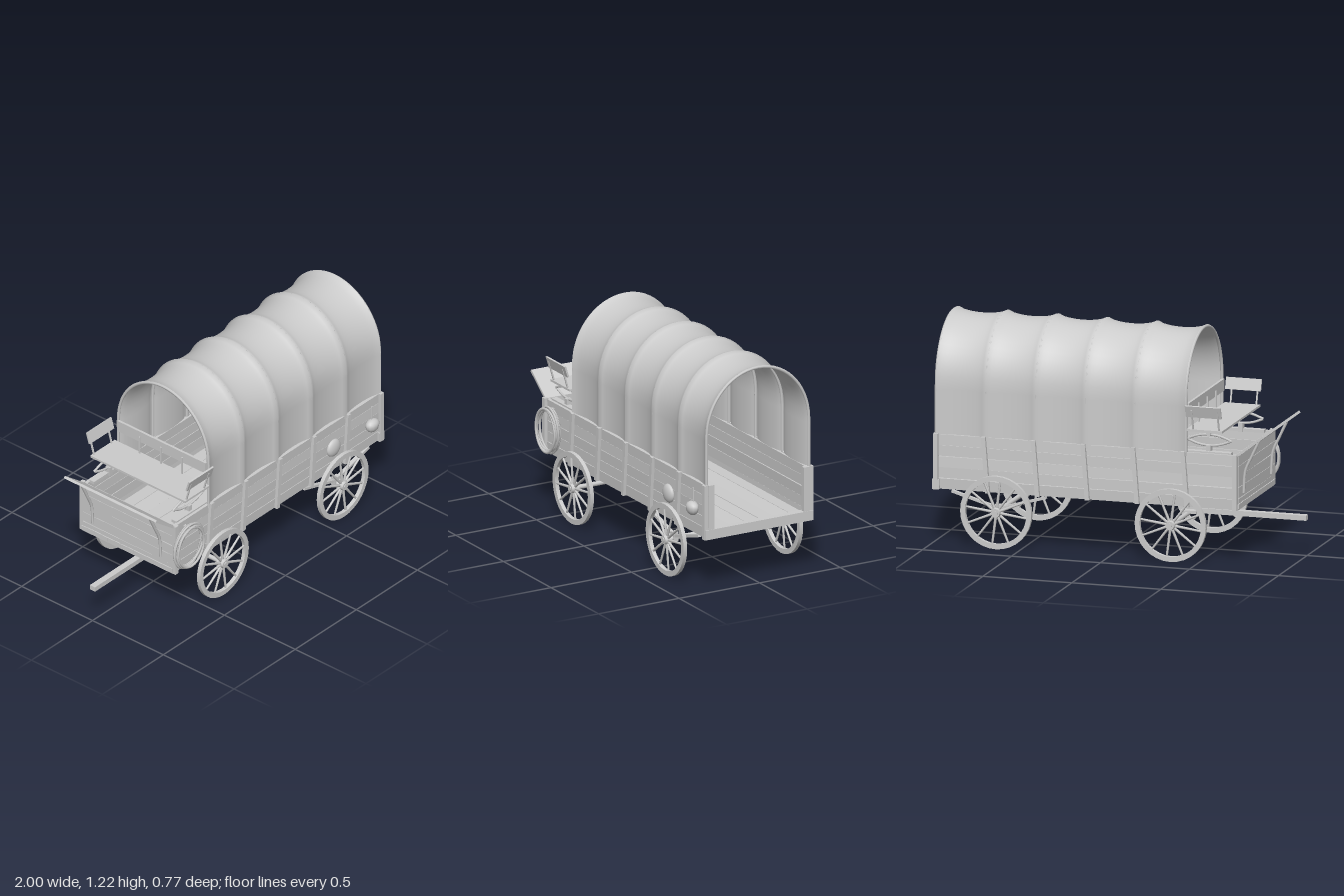
import * as THREE from 'three';

const mat = new THREE.MeshStandardMaterial({ color: 0xcccccc });
const sheetMat = new THREE.MeshStandardMaterial({ color: 0xcccccc, side: THREE.DoubleSide });
const V = (x, y, z) => new THREE.Vector3(x, y, z);

let seed = 7;
const rand = () => ((seed = (seed * 16807) % 2147483647) / 2147483647) - 0.5;

function add(parent, name, geo, x = 0, y = 0, z = 0, m = mat) {
  const mesh = new THREE.Mesh(geo, m);
  mesh.name = name;
  mesh.position.set(x, y, z);
  parent.add(mesh);
  return mesh;
}
const box = (p, name, w, h, d, x, y, z) => add(p, name, new THREE.BoxGeometry(w, h, d), x, y, z);

function group(parent, name) {
  const g = new THREE.Group();
  g.name = name;
  parent.add(g);
  return g;
}

// Rectangular bar running from a to b
function bar(parent, name, a, b, w, h) {
  const mesh = box(parent, name, w, h, a.distanceTo(b), 0, 0, 0);
  mesh.position.copy(a).lerp(b, 0.5);
  mesh.lookAt(b);
  return mesh;
}
const tube = (p, name, pts, r, m = 20) =>
  add(p, name, new THREE.TubeGeometry(new THREE.CatmullRomCurve3(pts), m, r, 6));

const HOOPS = [-0.42, -0.14, 0.14, 0.42, 0.7, 0.98];

// Point on the cover's arch, t from 0 (left foot) to 1 (right foot), pulled in by inset
function archPoint(t, x, inset) {
  const leg = 0.25, s = Math.min(t, 1 - t), side = t < 0.5 ? 1 : -1;
  if (s < leg) return V(x, 0.58 + (s / leg) * 0.29, side * (0.327 - inset));
  const a = ((s - leg) / (0.5 - leg)) * Math.PI / 2;
  return V(x, 0.87 + (0.355 - inset) * Math.sin(a), side * (0.327 - inset) * Math.cos(a));
}

// Canvas sagging between the hoops
function buildCover(parent) {
  const cover = group(parent, 'cover');
  const nx = 60, nt = 48;
  const geo = new THREE.PlaneGeometry(1, 1, nx, nt);
  const pos = geo.attributes.position;
  for (let j = 0; j <= nt; j++) for (let i = 0; i <= nx; i++) {
    const u = (i / nx) * 5, f = u % 1;
    const sag = 0.024 * Math.pow(4 * f * (1 - f), 0.7);
    const p = archPoint(j / nt, -0.42 + u * 0.28, sag);
    pos.setXYZ(j * (nx + 1) + i, p.x, p.y, p.z);
  }
  geo.computeVertexNormals();
  add(cover, 'canvas', geo, 0, 0, 0, sheetMat);
  for (const x of HOOPS) {
    const pts = [];
    for (let i = 0; i <= 24; i++) pts.push(archPoint(i / 24, x, 0.009));
    tube(cover, 'hoop', pts, 0.009, 48);
  }
}

function buildBody(parent) {
  const body = group(parent, 'body');
  // Floor planks
  for (let i = 0; i < 7; i++) {
    const p = box(body, 'floorPlank', 1.7, 0.025, 0.09, 0.13, 0.322, (i - 3) * 0.0915);
    p.rotation.x = rand() * 0.08;
  }
  // Side planks and upright stakes
  for (const s of [1, -1]) {
    for (let i = 0; i < 5; i++) {
      const p = box(body, 'sidePlank', 1.7, 0.058, 0.02, 0.14, 0.331 + i * 0.06, s * 0.312);
      p.rotation.set(rand() * 0.15, 0, rand() * 0.004);
    }
    for (const x of [-0.7, ...HOOPS]) {
      const lean = x > 0.9 || x < -0.6 ? 0 : 0.012;
      bar(body, 'stake', V(x - lean, 0.3, s * 0.327), V(x + lean, 0.605, s * 0.327), 0.026, 0.024);
    }
    box(body, 'rearCornerPost', 0.026, 0.3, 0.035, 0.985, 0.455, s * 0.295);
  }
  box(body, 'rearSill', 0.04, 0.055, 0.67, 0.98, 0.328, 0);
  box(body, 'frontSill', 0.03, 0.03, 0.64, -0.7, 0.315, 0);
  // Front end boards
  for (let i = 0; i < 5; i++) {
    const p = box(body, 'frontPlank', 0.02, 0.058, 0.63, -0.705, 0.331 + i * 0.06, 0);
    p.rotation.x = rand() * 0.02;
  }
  // Sloping footboard on two iron brackets
  bar(body, 'footboard', V(-0.7, 0.592, 0), V(-0.855, 0.712, 0), 0.65, 0.014);
  for (const z of [-0.24, 0.24])
    tube(body, 'footboardBracket', [V(-0.72, 0.38, z), V(-0.73, 0.5, z), V(-0.765, 0.58, z), V(-0.81, 0.675, z)], 0.008);
}

function buildSeat(parent) {
  const seat = group(parent, 'seat');
  box(seat, 'seatBoard', 0.2, 0.012, 0.67, -0.53, 0.725, 0);
  box(seat, 'backrest', 0.014, 0.065, 0.62, -0.43, 0.834, 0);
  for (const z of [-0.15, 0, 0.15]) box(seat, 'backrestPost', 0.008, 0.11, 0.008, -0.44, 0.78, z);
  for (const s of [1, -1]) {
    const rest = box(seat, 'armrest', 0.2, 0.066, 0.01, -0.53, 0.833, s * 0.352);
    rest.rotation.x = s * 0.3;
    for (const x of [-0.61, -0.465])
      bar(seat, 'armrestPost', V(x, 0.725, s * 0.325), V(x, 0.84, s * 0.358), 0.008, 0.008);
    // Elliptic leaf spring under each end
    for (const k of [1, -1])
      tube(seat, 'springLeaf', [-1, -0.5, 0, 0.5, 1].map(u =>
        V(-0.54 + u * 0.125, 0.667 + k * 0.03 * (1 - u * u), s * 0.28)), 0.007);
    box(seat, 'springBlock', 0.025, 0.03, 0.03, -0.54, 0.71, s * 0.28);
    box(seat, 'springFoot', 0.025, 0.05, 0.03, -0.54, 0.615, s * 0.28);
    box(seat, 'springRail', 0.26, 0.016, 0.035, -0.54, 0.6, s * 0.29);
  }
}

function buildWheel(parent, x, s) {
  const wheel = group(parent, 'wheel');
  wheel.position.set(x, 0.203, s * 0.36);
  // Rim of square section
  const profile = [[0.172, -0.011], [0.2, -0.011], [0.2, 0.011], [0.172, 0.011], [0.172, -0.011]];
  for (let i = 0; i < 4; i++) {
    const rim = add(wheel, 'rim', new THREE.LatheGeometry(
      [profile[i], profile[i + 1]].map(q => new THREE.Vector2(...q)), 32));
    rim.rotation.x = Math.PI / 2;
  }
  for (let i = 0; i < 12; i++) {
    const a = (i / 12) * Math.PI * 2 + 0.13;
    const spoke = add(wheel, 'spoke', new THREE.CylinderGeometry(0.006, 0.008, 0.15, 6),
      Math.cos(a) * 0.102, Math.sin(a) * 0.102, 0);
    spoke.rotation.z = a - Math.PI / 2;
  }
  const hub = add(wheel, 'hub', new THREE.CylinderGeometry(0.024, 0.032, 0.04, 12));
  hub.rotation.x = s * Math.PI / 2;
  const cap = add(wheel, 'hubCap', new THREE.CylinderGeometry(0.013, 0.013, 0.05, 10));
  cap.rotation.x = Math.PI / 2;
}

function buildRunningGear(parent) {
  const gear = group(parent, 'runningGear');
  for (const x of [-0.35, 0.63]) {
    const axle = add(gear, 'axle', new THREE.CylinderGeometry(0.013, 0.013, 0.77, 10), x, 0.203, 0);
    axle.rotation.x = Math.PI / 2;
    for (const s of [1, -1]) buildWheel(gear, x, s);
  }
  // Rear leaf springs
  for (const s of [1, -1]) {
    for (const k of [1, -1])
      bar(gear, 'rearSpring', V(0.63, 0.215, s * 0.31), V(0.63 + k * 0.265, 0.293, s * 0.31), 0.022, 0.014);
    box(gear, 'springClamp', 0.04, 0.05, 0.028, 0.63, 0.213, s * 0.31);
  }
  // Front pivot block, tapering down to the axle
  bar(gear, 'pivotBlock', V(-0.41, 0.315, 0), V(-0.36, 0.215, 0), 0.1, 0.07);
  box(gear, 'pivotPlate', 0.09, 0.016, 0.18, -0.36, 0.216, 0);
  // Tongue
  box(gear, 'tongue', 0.64, 0.028, 0.036, -0.68, 0.211, 0);
}

// Things hung on the left side
function buildCargo(parent) {
  const cargo = group(parent, 'cargo');
  for (let i = 0; i < 5; i++) {
    const loop = add(cargo, 'ropeCoil', new THREE.TorusGeometry(0.108 + rand() * 0.012, 0.007, 6, 32),
      -0.62 + rand() * 0.016, 0.45 + rand() * 0.015, 0.345 + i * 0.007);
    loop.scale.set(0.95, 1.13, 1);
    loop.rotation.set(rand() * 0.12, rand() * 0.12, rand());
  }
  box(cargo, 'ropePeg', 0.015, 0.015, 0.06, -0.62, 0.562, 0.345);
  const flask = add(cargo, 'flask', new THREE.SphereGeometry(0.052, 20, 14), 0.595, 0.447, 0.325);
  flask.scale.z = 0.45;
  const pot = add(cargo, 'pot', new THREE.SphereGeometry(0.045, 12, 8, 0, Math.PI * 2, Math.PI / 2, Math.PI / 2),
    0.885, 0.46, 0.35, sheetMat);
  pot.scale.z = 0.7;
  const lid = add(cargo, 'potLid', new THREE.SphereGeometry(0.046, 12, 6, 0, Math.PI * 2, 0, Math.PI / 2), 0.885, 0.46, 0.35);
  lid.scale.set(1, 0.7, 0.7);
  box(cargo, 'potHanger', 0.006, 0.09, 0.006, 0.885, 0.525, 0.345);
}

export function createModel() {
  const wagon = new THREE.Group();
  wagon.name = 'coveredWagon';
  seed = 7;
  buildBody(wagon);
  buildCover(wagon);
  buildSeat(wagon);
  buildRunningGear(wagon);
  buildCargo(wagon);
  return wagon;
}
